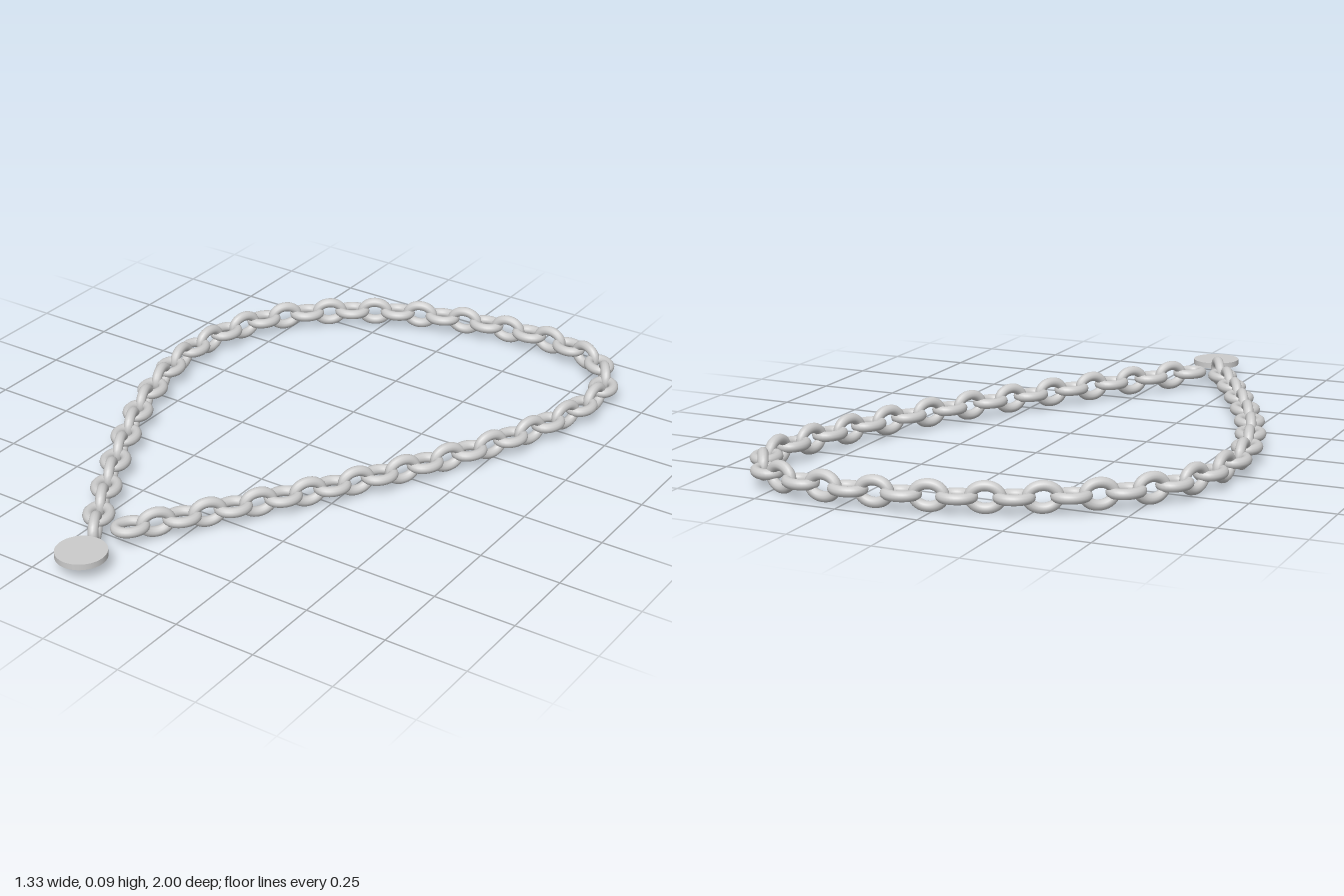
import * as THREE from 'three';

const MID_Y = 0.047;      // height of the chain's centre line
const WIRE = 0.0155;      // radius of the link wire
const LINKS = 60;

// Centre line of the chain, as [x, z]
const PATH = [
  [-0.108, 0.739], [0.071, 0.485], [0.241, 0.23], [0.394, -0.034], [0.526, -0.31],
  [0.611, -0.606], [0.608, -0.76], [0.526, -0.887], [0.389, -0.943], [0.235, -0.953],
  [-0.066, -0.903], [-0.341, -0.776], [-0.553, -0.553], [-0.622, -0.257],
  [-0.563, 0.045], [-0.447, 0.326], [-0.304, 0.601], [-0.185, 0.8],
];

// Oval wire ring lying flat, long axis along z
function linkGeometry() {
  const points = [];
  for (let i = 0; i < 16; i++) {
    const a = (i / 16) * Math.PI * 2;
    points.push(new THREE.Vector3(Math.cos(a) * (0.047 - WIRE), 0, Math.sin(a) * (0.058 - WIRE)));
  }
  return new THREE.TubeGeometry(new THREE.CatmullRomCurve3(points, true), 32, WIRE, 12, true);
}

export function createModel() {
  const model = new THREE.Group();
  model.name = 'chainNecklace';
  const material = new THREE.MeshStandardMaterial({ color: 0xcccccc });

  // Chain: links alternate between lying flat and standing on edge
  const chain = new THREE.Group();
  chain.name = 'chain';
  const curve = new THREE.CatmullRomCurve3(PATH.map(([x, z]) => new THREE.Vector3(x, MID_Y, z)));
  curve.arcLengthDivisions = 600;
  const geometry = linkGeometry();
  for (let i = 0; i < LINKS; i++) {
    const t = i / (LINKS - 1);
    const dir = curve.getTangentAt(t);
    const upright = i % 2 === 1;
    const link = new THREE.Mesh(geometry, material);
    link.name = upright ? 'uprightLink' : 'flatLink';
    link.position.copy(curve.getPointAt(t));
    link.rotation.order = 'YXZ';
    link.rotation.y = Math.atan2(dir.x, dir.z);
    link.rotation.z = upright ? Math.PI / 2 : 0;
    chain.add(link);
  }
  model.add(chain);

  // Round flat tag hanging from the last link
  const tag = new THREE.Mesh(new THREE.CylinderGeometry(0.075, 0.075, 0.018, 48), material);
  tag.name = 'discTag';
  tag.position.set(-0.133, MID_Y + 0.002, 0.925);
  model.add(tag);

  return model;
}
